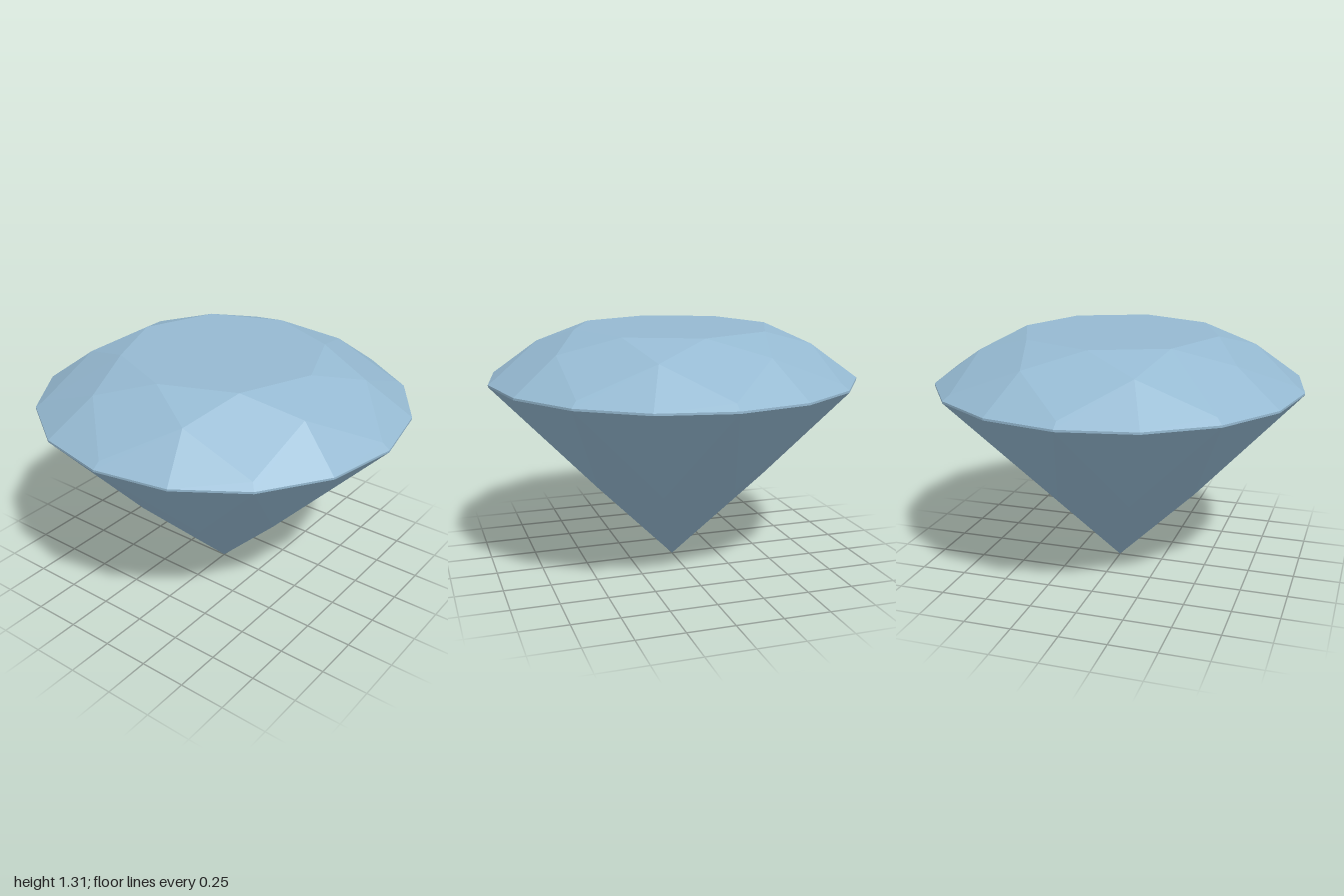
import * as THREE from 'three';

const STEP = Math.PI / 8; // sixteen girdle divisions

// Point on a ring: radius, height and position in sixteenths of a turn
const ring = (r, y) => (i) => [r * Math.sin(i * STEP), y, r * Math.cos(i * STEP)];

const tableTip = ring(0.54, 1.31);
const crownMid = ring(0.75, 1.222);
const kiteTip = ring(0.96, 1.07);
const girdleTop = ring(1, 1.041);
const girdleBase = ring(1, 1.03);
const pavilionMid = ring(0.51, 0.49);
const culet = [0, 0, 0];

// Flat facets from convex polygons, corners counter-clockwise from outside
function facets(name, polygons, material) {
  const pos = [];
  for (const p of polygons)
    for (let k = 1; k < p.length - 1; k++) pos.push(...p[0], ...p[k], ...p[k + 1]);
  const geometry = new THREE.BufferGeometry();
  geometry.setAttribute('position', new THREE.Float32BufferAttribute(pos, 3));
  geometry.computeVertexNormals();
  const mesh = new THREE.Mesh(geometry, material);
  mesh.name = name;
  return mesh;
}

export function createModel() {
  const gem = new THREE.MeshStandardMaterial({ color: 0x95b9d1 });
  gem.name = 'paleBlueGem';

  const table = [], stars = [], kites = [], upper = [], girdle = [], lower = [], mains = [];
  const top = [];
  for (let i = 0; i < 16; i += 2) {
    const a = i - 1, b = i + 1;
    top.push(tableTip(i));
    // Crown: star triangle, main kite and the two facets beside its tip
    stars.push([crownMid(b), tableTip(i + 2), tableTip(i)]);
    kites.push([kiteTip(i), crownMid(b), tableTip(i), crownMid(a)]);
    upper.push([girdleTop(i), girdleTop(b), crownMid(b), kiteTip(i)]);
    upper.push([girdleTop(a), girdleTop(i), kiteTip(i), crownMid(a)]);
    // Thin girdle band
    girdle.push([girdleBase(a), girdleBase(i), girdleTop(i), girdleTop(a)]);
    girdle.push([girdleBase(i), girdleBase(b), girdleTop(b), girdleTop(i)]);
    // Pavilion: main kite down to the point and two triangles at the girdle
    mains.push([culet, pavilionMid(b), girdleBase(i), pavilionMid(a)]);
    lower.push([pavilionMid(b), girdleBase(b), girdleBase(i)]);
    lower.push([pavilionMid(a), girdleBase(i), girdleBase(a)]);
  }
  table.push(top);

  const group = new THREE.Group();
  group.name = 'cutGem';
  const parts = {
    table, crownStars: stars, crownKites: kites, crownGirdleFacets: upper,
    girdle, pavilionMains: mains, pavilionGirdleFacets: lower,
  };
  for (const [name, polygons] of Object.entries(parts)) group.add(facets(name, polygons, gem));
  return group;
}
